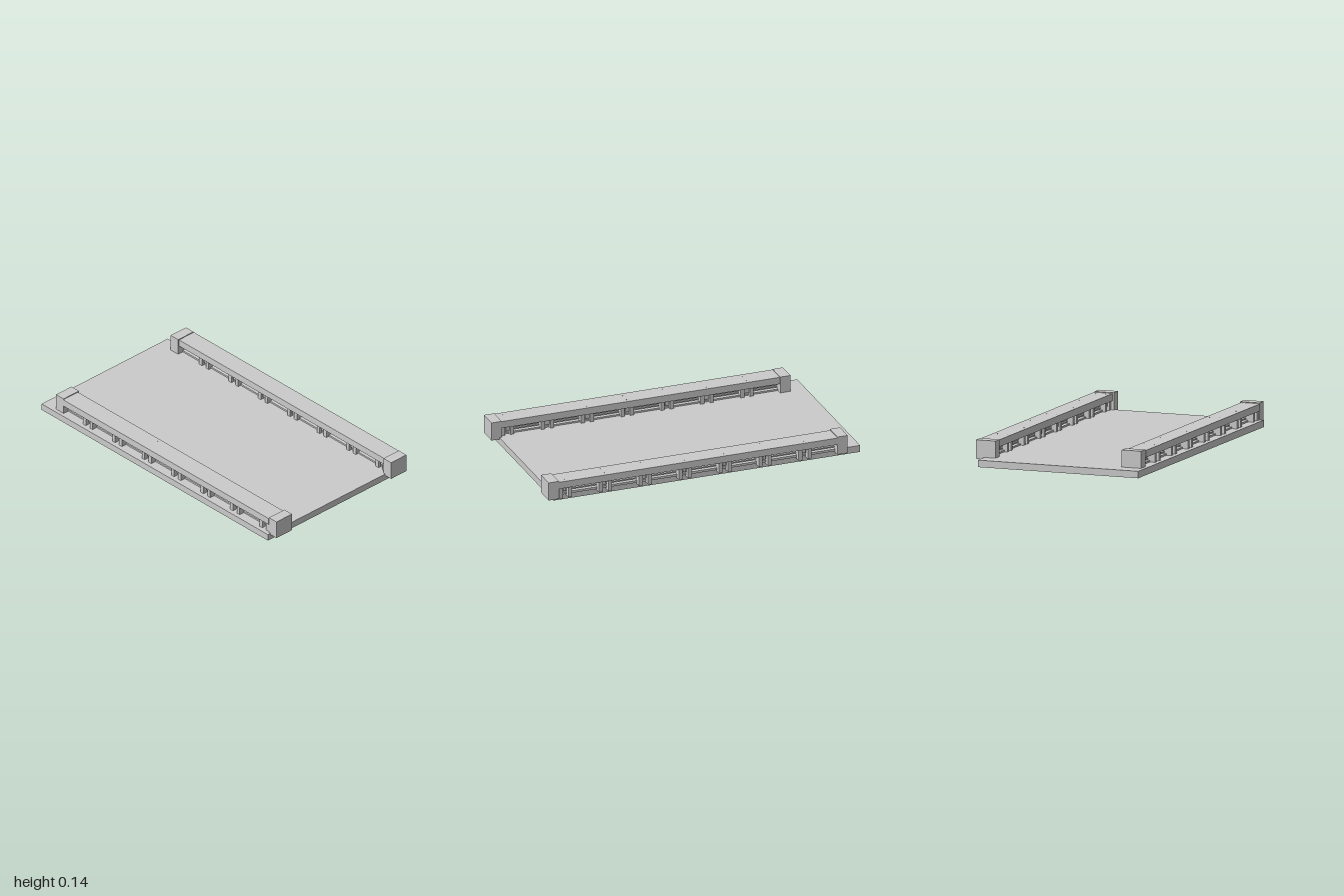
import * as THREE from 'three';

const material = new THREE.MeshStandardMaterial({ color: 0xcccccc, flatShading: true });

// Box given by its lower and upper limits on each axis
function box(parent, name, [x0, x1], [y0, y1], [z0, z1]) {
  const mesh = new THREE.Mesh(new THREE.BoxGeometry(x1 - x0, y1 - y0, z1 - z0), material);
  mesh.position.set((x0 + x1) / 2, (y0 + y1) / 2, (z0 + z1) / 2);
  mesh.name = name;
  parent.add(mesh);
  return mesh;
}

// One parapet; local x runs outwards from the deck when side is 1
function createParapet(side, centre) {
  const parapet = new THREE.Group();
  parapet.name = side > 0 ? 'leftParapet' : 'rightParapet';
  const span = (a, b) => (side > 0 ? [centre + a, centre + b] : [centre - b, centre - a]);
  const add = (name, x0, x1, y, z) => box(parapet, name, span(x0, x1), y, z);

  // End blocks and top beam
  add('frontEndBlock', -0.0625, 0.0625, [0.031, 0.145], [0.935, 1]);
  add('backEndBlock', -0.0625, 0.0625, [0.031, 0.145], [-0.9, -0.835]);
  add('topBeam', -0.055, 0.066, [0.097, 0.14], [-0.835, 0.935]);

  // Low curb and horizontal rails
  add('curb', -0.025, 0.025, [0.038, 0.052], [-0.835, 0.935]);
  for (const y of [0.062, 0.076, 0.09])
    add('rail', -0.012, 0.012, [y - 0.004, y + 0.004], [-0.835, 0.935]);

  // Paired posts with a small block between them
  for (let i = 0; i < 7; i++) {
    const z = 0.89 - i * 0.2535;
    for (const dz of [-0.029, 0.029])
      add('post', -0.045, 0.058, [0.029, 0.1], [z + dz - 0.012, z + dz + 0.012]);
    add('postWeb', -0.03, 0.03, [0.06, 0.098], [z - 0.018, z + 0.018]);
    add('webBracket', -0.036, 0.042, [0.066, 0.092], [z - 0.009, z + 0.009]);

    // Bolt heads on the beam
    for (const x of [-0.03, 0.035]) {
      const bolt = new THREE.Mesh(new THREE.CylinderGeometry(0.002, 0.002, 0.002, 6), material);
      bolt.name = 'bolt';
      bolt.position.set(centre + side * x, 0.1405, z);
      parapet.add(bolt);
    }
  }
  return parapet;
}

export function createModel() {
  const model = new THREE.Group();
  model.name = 'bridgeDeck';
  box(model, 'deckSlab', [-0.544, 0.484], [0, 0.042], [-1, 0.95]);
  model.add(createParapet(1, 0.475), createParapet(-1, -0.4585));
  return model;
}
